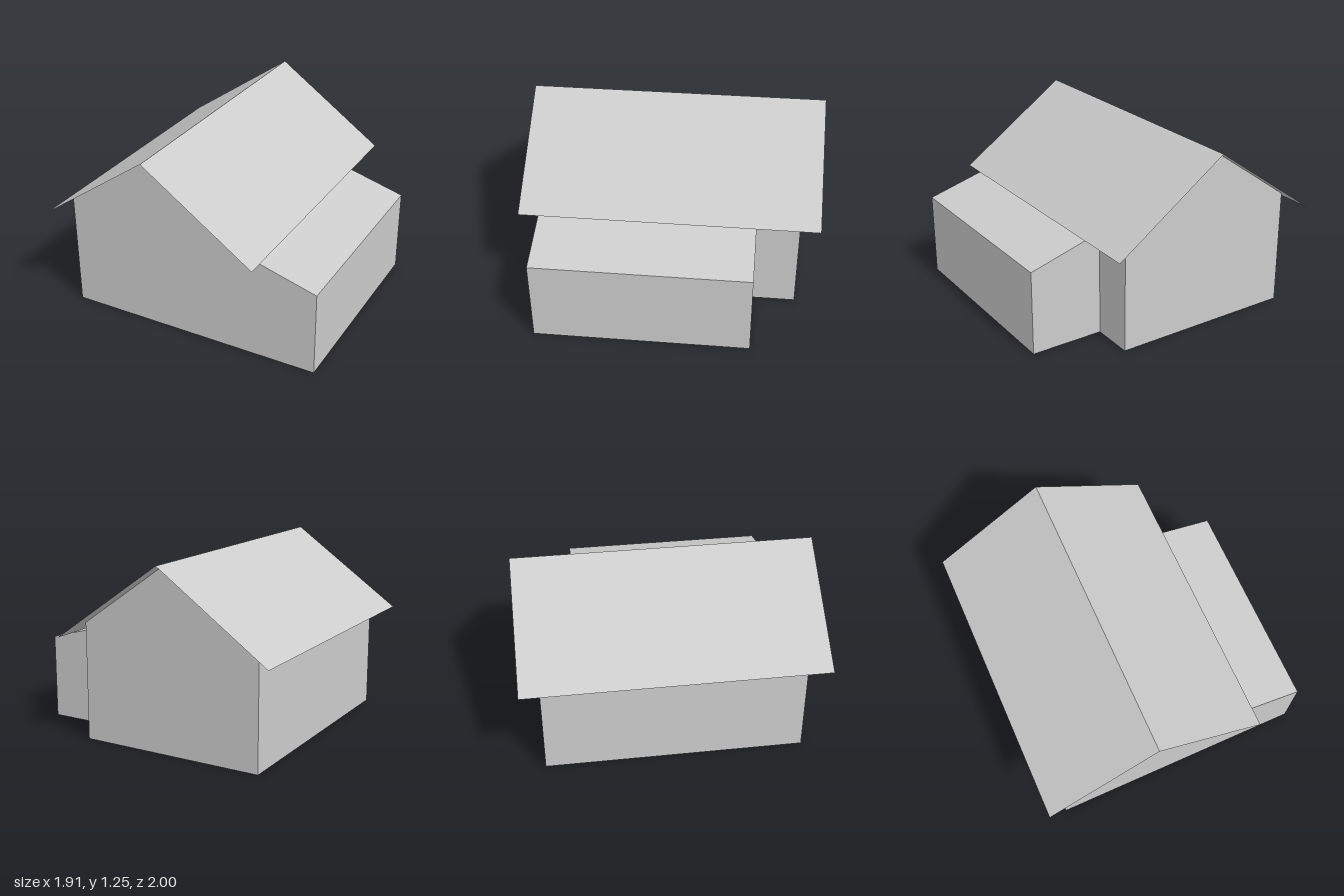
import * as THREE from 'three';

const plaster = new THREE.MeshStandardMaterial({ color: 0xcccccc, side: THREE.DoubleSide });
plaster.name = 'light grey';

// Solid with an upright cross-section, running from z0 to z1
function prism(name, points, z0, z1) {
  const shape = new THREE.Shape(points.map(([x, y]) => new THREE.Vector2(x, y)));
  const geometry = new THREE.ExtrudeGeometry(shape, { depth: z1 - z0, bevelEnabled: false });
  geometry.translate(0, 0, z0);
  const mesh = new THREE.Mesh(geometry, plaster);
  mesh.name = name;
  return mesh;
}

// Thin flat sheet from a (left end) to b (right end), facing up
function slope(name, [ax, ay], [bx, by], z) {
  const geometry = new THREE.BufferGeometry();
  geometry.setAttribute('position', new THREE.Float32BufferAttribute(
    [ax, ay, -z, ax, ay, z, bx, by, z, bx, by, -z], 3));
  geometry.setIndex([0, 1, 2, 0, 2, 3]);
  geometry.computeVertexNormals();
  const mesh = new THREE.Mesh(geometry, plaster);
  mesh.name = name;
  return mesh;
}

export function createModel() {
  const house = new THREE.Group();
  house.name = 'house';
  const ridge = [-0.19, 1.25];

  // Gabled main walls
  house.add(prism('mainWalls',
    [[-0.83, 0], [0.45, 0], [0.45, 0.8], ridge, [-0.83, 0.8]], -0.87, 0.87));

  // Lean-to annex, flush with the front gable
  house.add(prism('annex',
    [[0.45, 0], [0.955, 0], [0.955, 0.58], [0.45, 0.725]], -0.58, 0.87));

  // Overhanging roof sheets
  house.add(slope('rightRoof', [-0.96, 0.71], ridge, 1));
  house.add(slope('leftRoof', ridge, [0.58, 0.71], 1));
  return house;
}
